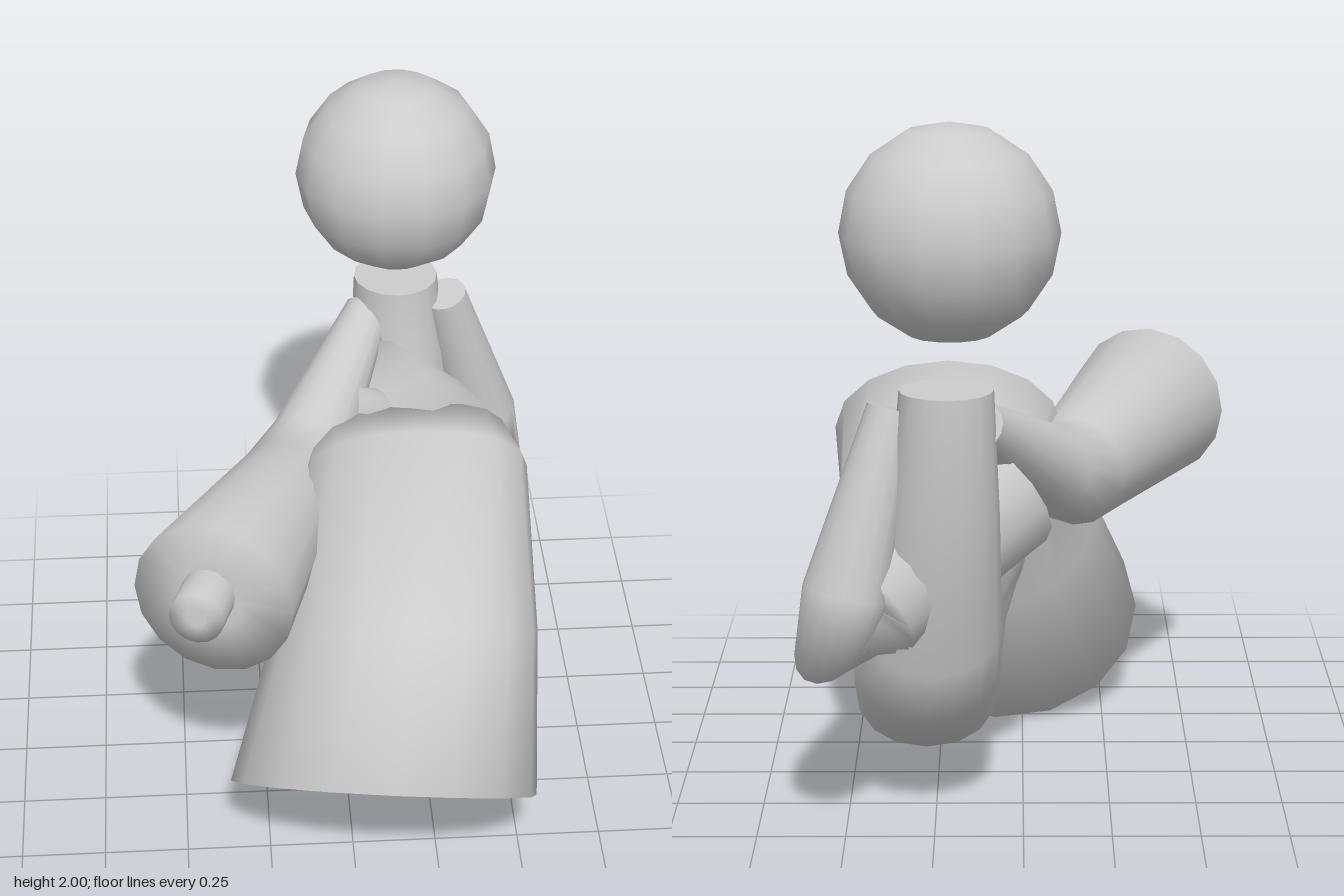
import * as THREE from 'three';

const SIDES = 16;
const V = (x, y, z) => new THREE.Vector3(x, y, z);

// Smooth closed loft through rings { c, u, v, p }; u x v points backwards along the path,
// p = 1 gives an ellipse and smaller values a boxier section.
function loft(rings) {
  const pos = [], index = [];
  const bulge = (s, p) => Math.sign(s) * Math.pow(Math.abs(s), p);
  const addRing = ({ c, u, v, p = 1 }, scale = 1) => {
    const start = pos.length / 3;
    for (let i = 0; i < SIDES; i++) {
      const a = (i / SIDES) * Math.PI * 2;
      const q = c.clone()
        .addScaledVector(u, bulge(Math.cos(a), p) * scale)
        .addScaledVector(v, bulge(Math.sin(a), p) * scale);
      pos.push(q.x, q.y, q.z);
    }
    return start;
  };
  const bridge = (a, b) => {
    for (let i = 0; i < SIDES; i++) {
      const j = (i + 1) % SIDES;
      index.push(a + i, b + i, a + j, a + j, b + i, b + j);
    }
  };
  const cap = (start, c, last) => {
    const mid = pos.length / 3;
    pos.push(c.x, c.y, c.z);
    for (let i = 0; i < SIDES; i++) {
      const j = (i + 1) % SIDES;
      if (last) index.push(mid, start + j, start + i);
      else index.push(mid, start + i, start + j);
    }
  };
  const starts = rings.map((r) => addRing(r));
  for (let k = 1; k < starts.length; k++) bridge(starts[k - 1], starts[k]);
  // flat, crisp start face
  cap(addRing(rings[0]), rings[0].c, false);
  // end face shares its rim, so the shading rolls over the edge
  const last = rings[rings.length - 1];
  const inset = addRing(last, 0.35);
  bridge(starts[starts.length - 1], inset);
  cap(inset, last.c, true);
  const g = new THREE.BufferGeometry();
  g.setAttribute('position', new THREE.Float32BufferAttribute(pos, 3));
  g.setIndex(index);
  g.computeVertexNormals();
  return g;
}

// Round limb along points [x, y, z, radius], rings mitred at the bends.
function limb(points) {
  const c = points.map((p) => V(p[0], p[1], p[2]));
  return loft(points.map((p, k) => {
    const t = V(0, 0, 0);
    if (k > 0) t.add(c[k].clone().sub(c[k - 1]).normalize());
    if (k < c.length - 1) t.add(c[k + 1].clone().sub(c[k]).normalize());
    t.normalize();
    const u = V(1, 0, 0).addScaledVector(t, -t.x).normalize();
    const v = u.clone().cross(t);
    return { c: c[k], u: u.multiplyScalar(p[3]), v: v.multiplyScalar(p[3]) };
  }));
}

export function createModel() {
  const group = new THREE.Group();
  const grey = new THREE.MeshStandardMaterial({ color: 0xcccccc });
  grey.name = 'plain grey';
  const add = (name, geometry) => {
    const mesh = new THREE.Mesh(geometry, grey);
    mesh.name = name;
    group.add(mesh);
    return mesh;
  };

  // Floating head
  add('head', new THREE.SphereGeometry(0.303, 14, 8)).position.set(0.2, 1.697, -0.612);

  // Torso, lap, raised knees and flared skirt in one sweep:
  // [front z, front y, back z, back y, centre x, half width, sideways tilt, roundness]
  const body = [
    [-0.57, 1.28, -0.83, 1.28, 0.21, 0.13, 0, 1],
    [-0.55, 0.9, -0.84, 0.95, 0.22, 0.155, 0, 1],
    [-0.47, 0.68, -0.75, 0.47, 0.25, 0.19, 0, 1],
    [-0.43, 0.59, -0.66, 0.3, 0.27, 0.21, 0, 1],
    [-0.33, 0.5, -0.41, 0.14, 0.28, 0.21, 0, 0.9],
    [-0.29, 0.47, -0.02, 0.43, 0.27, 0.22, 0, 0.8],
    [-0.44, 0.65, -0.08, 0.72, 0.25, 0.26, 0, 0.6],
    [-0.43, 0.97, -0.1, 0.88, 0.23, 0.3, 0, 0.6],
    [0.04, 1.19, -0.1, 0.82, 0.22, 0.335, 0, 1],
    [0.6, 0.88, -0.02, 0.42, 0.17, 0.39, 0.03, 1],
    [0.92, 0.55, 0.22, 0, 0.085, 0.45, 0.06, 1],
  ];
  add('body', loft(body.map(([az, ay, bz, by, x, w, tilt, p]) => ({
    c: V(x, (ay + by) / 2, (az + bz) / 2),
    u: V(-w, 0, -tilt),
    v: V(0, (ay - by) / 2, (az - bz) / 2),
    p,
  }))));

  // Sleeves flare from shoulder to cuff, each with a small round hand
  add('rightSleeve', limb([
    [0.12, 1.17, -0.67, 0.07], [-0.08, 0.94, -0.28, 0.13],
    [-0.15, 0.895, -0.13, 0.16], [-0.4, 0.95, 0.5, 0.24],
  ]));
  add('rightHand', limb([[-0.4, 0.96, 0.45, 0.08], [-0.45, 0.975, 0.62, 0.08]]));
  add('leftSleeve', limb([
    [0.36, 1.22, -0.67, 0.07], [0.49, 0.72, -0.77, 0.12],
    [0.52, 0.6, -0.79, 0.14], [0.42, 0.66, -0.71, 0.16], [0.11, 0.94, -0.42, 0.24],
  ]));
  add('leftHand', limb([[0.15, 0.91, -0.46, 0.08], [0.04, 1.01, -0.35, 0.08]]));

  return group;
}
